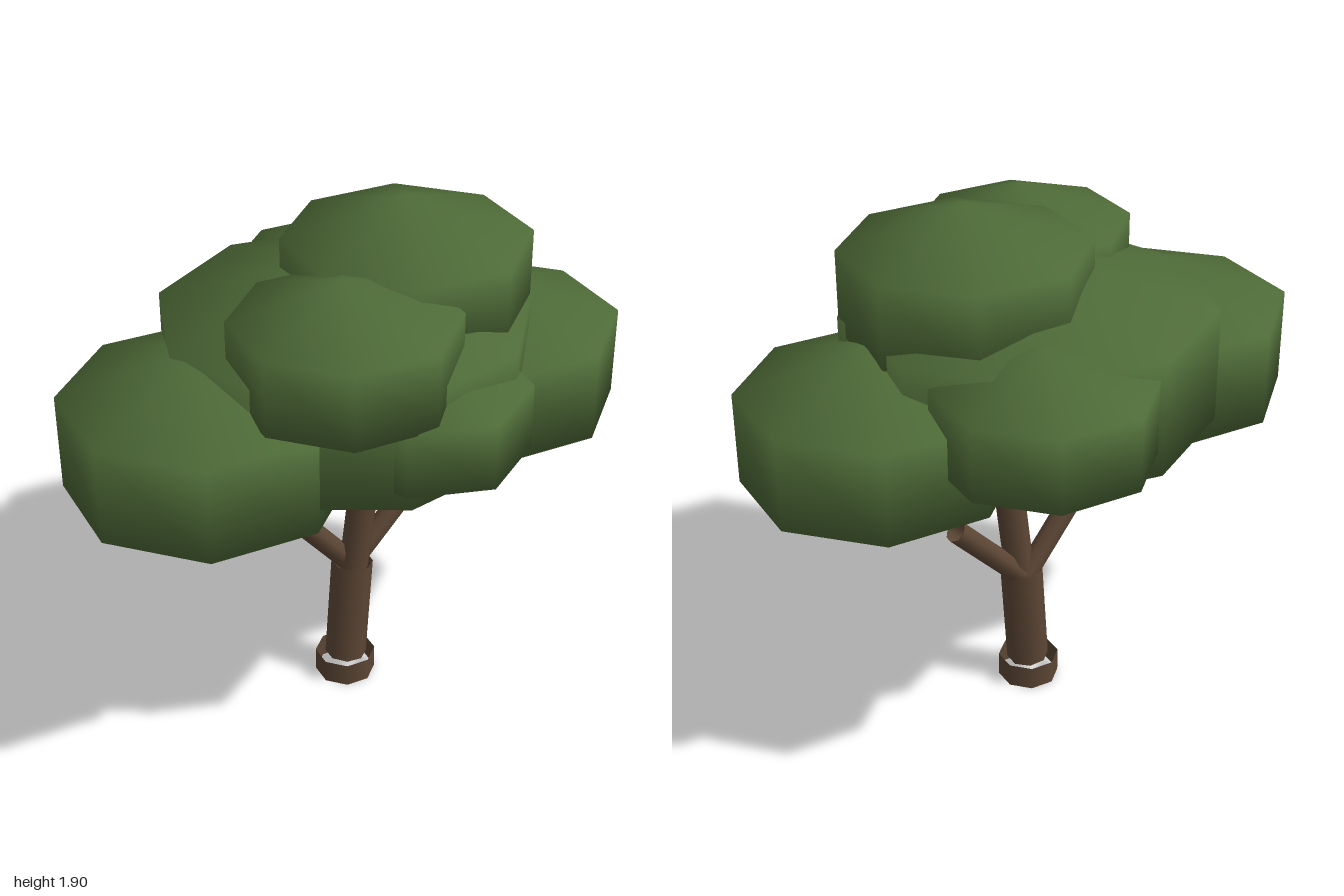
import * as THREE from 'three';

const leafGreen = new THREE.MeshStandardMaterial({ color: 0x4f6b38 });
const barkBrown = new THREE.MeshStandardMaterial({ color: 0x5c4635, side: THREE.DoubleSide });

// Open round limb between two points
function limb(name, from, to, radius, sides = 8) {
  const a = new THREE.Vector3(...from);
  const b = new THREE.Vector3(...to);
  const dir = b.clone().sub(a);
  const mesh = new THREE.Mesh(
    new THREE.CylinderGeometry(radius, radius, dir.length(), sides, 1, true), barkBrown);
  mesh.name = name;
  mesh.position.copy(a).add(b).multiplyScalar(0.5);
  mesh.quaternion.setFromUnitVectors(new THREE.Vector3(0, 1, 0), dir.normalize());
  return mesh;
}

// Flattened coarse sphere: three bands give a cap, a straight wall and a base
function leafClump(name, position, radius, halfHeight, sides = 8) {
  const mesh = new THREE.Mesh(new THREE.SphereGeometry(1, sides, 3), leafGreen);
  mesh.name = name;
  mesh.position.set(...position);
  mesh.scale.set(radius, halfHeight, radius);
  mesh.rotation.y = Math.PI;
  return mesh;
}

export function createModel() {
  const tree = new THREE.Group();
  tree.name = 'tree';

  // Trunk and branches
  const wood = new THREE.Group();
  wood.name = 'wood';
  wood.add(
    limb('rootCollar', [0.003, 0, -0.017], [0.003, 0.088, -0.017], 0.11),
    limb('lowerTrunk', [0.003, 0.08, -0.014], [0.035, 0.48, -0.01], 0.076),
    limb('upperTrunk', [0.045, 0.45, -0.012], [0.083, 0.895, 0.018], 0.053),
    limb('leftBranch', [0.06, 0.47, -0.02], [0.308, 0.737, 0.063], 0.041),
    limb('rightBranch', [0.04, 0.47, -0.04], [-0.177, 0.738, -0.1], 0.041),
    limb('rightTwig', [0.06, 0.84, -0.01], [-0.02, 1.02, -0.05], 0.034),
    limb('leftTwig', [0.075, 0.84, 0.01], [0.1, 1.02, 0.0], 0.034),
  );

  // Foliage clumps
  const foliage = new THREE.Group();
  foliage.name = 'foliage';
  foliage.add(
    leafClump('centreClump', [0, 1.32, -0.015], 0.735, 0.4, 9),
    leafClump('leftClump', [0.535, 1.192, 0.187], 0.534, 0.32),
    leafClump('rightClump', [-0.52, 1.21, -0.16], 0.555, 0.335),
    leafClump('topClump', [0.19, 1.61, 0.092], 0.485, 0.288),
    leafClump('upperRightClump', [-0.265, 1.54, 0.215], 0.433, 0.26),
    leafClump('backLeftClump', [0.362, 1.337, -0.363], 0.422, 0.253),
    leafClump('frontClump', [-0.06, 1.3, 0.4], 0.38, 0.23, 7),
  );

  tree.add(wood, foliage);
  return tree;
}
